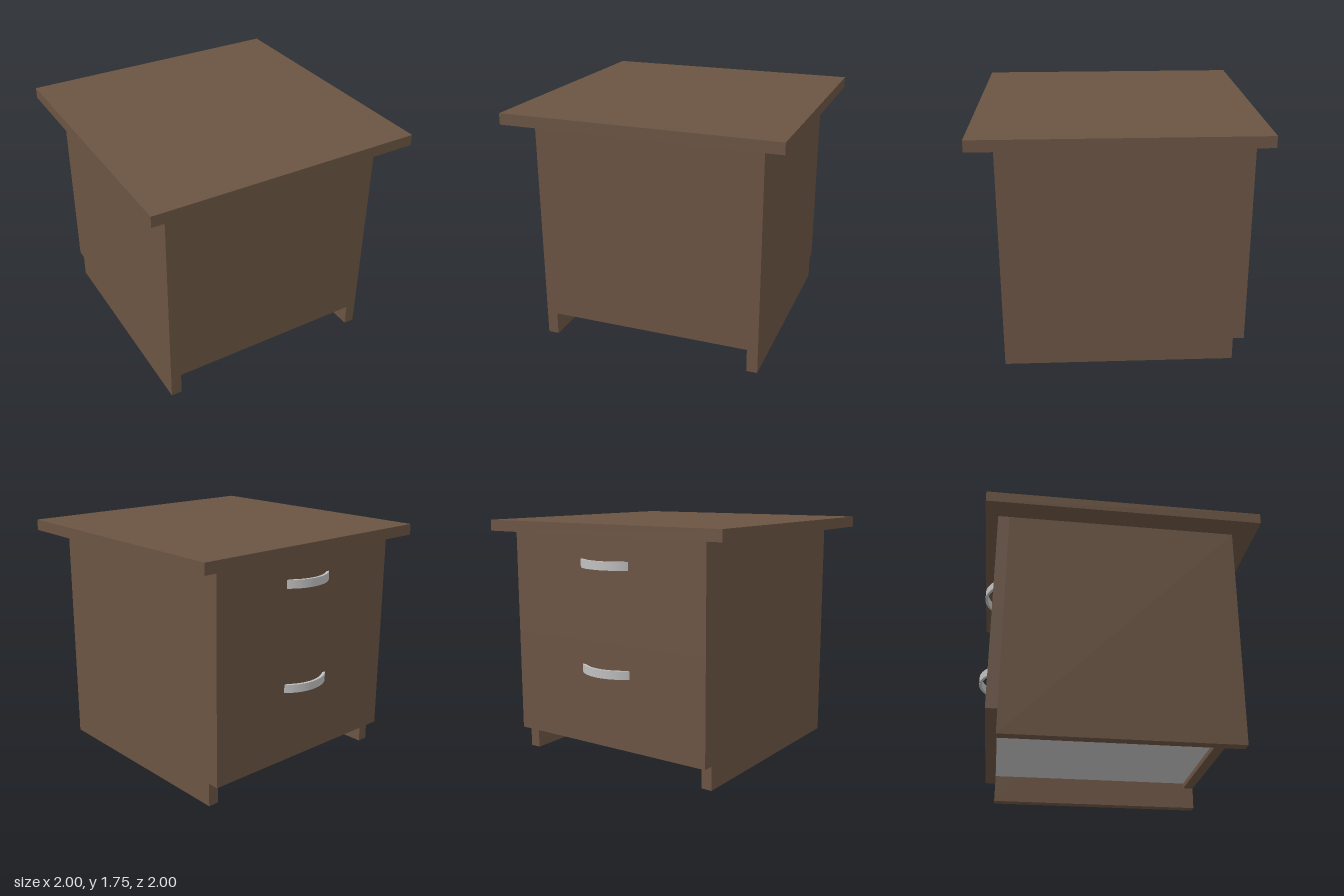
import * as THREE from 'three';
import { toCreasedNormals } from 'three/addons/utils/BufferGeometryUtils.js';

const wood = new THREE.MeshStandardMaterial({ color: 0x6b5443 });
wood.name = 'brown wood';
const metal = new THREE.MeshStandardMaterial({ color: 0xc0c0c0 });
metal.name = 'light grey';

// Box given by its lower and upper limits on each axis
function slab(name, material, [x0, x1], [y0, y1], [z0, z1]) {
  const mesh = new THREE.Mesh(new THREE.BoxGeometry(x1 - x0, y1 - y0, z1 - z0), material);
  mesh.name = name;
  mesh.position.set((x0 + x1) / 2, (y0 + y1) / 2, (z0 + z1) / 2);
  return mesh;
}

// Curved strip bowing out towards -z, its ends resting on z = 0
function handleGeometry() {
  const halfWidth = 0.21, bow = 0.08, thickness = 0.02, height = 0.06;
  const radius = (halfWidth ** 2 + bow ** 2) / (2 * bow);
  const spread = Math.asin(halfWidth / radius);
  const a = Math.PI / 2 - spread, b = Math.PI / 2 + spread;
  const shape = new THREE.Shape();
  shape.absarc(0, bow - radius, radius, a, b, false);
  shape.absarc(0, bow - radius, radius - thickness, b, a, true);
  const geometry = new THREE.ExtrudeGeometry(shape, { depth: height, bevelEnabled: false, curveSegments: 20 });
  geometry.translate(0, 0, -height / 2);
  geometry.rotateX(-Math.PI / 2);
  return toCreasedNormals(geometry, 0.6);
}

export function createModel() {
  const model = new THREE.Group();
  model.name = 'drawerCabinet';

  // Overhanging top
  model.add(slab('top', wood, [-1, 1], [1.67, 1.75], [-1, 1]));

  // Side panels reach the floor
  model.add(slab('leftSide', wood, [0.75, 0.83], [0, 1.67], [-0.83, 0.83]));
  model.add(slab('rightSide', wood, [-0.83, -0.75], [0, 1.67], [-0.83, 0.83]));

  // Closing panel flush between the sides
  model.add(slab('panel', wood, [-0.75, 0.75], [0.17, 1.67], [0.75, 0.83]));

  // Inner carcass, its underside slightly raised
  model.add(slab('innerBody', metal, [-0.75, 0.75], [0.21, 1.67], [-0.83, 0.75]));

  // Two drawers with bowed handles
  const handleShape = handleGeometry();
  ['lower', 'upper'].forEach((level, i) => {
    const y = 0.17 + i * 0.75;
    const drawer = new THREE.Group();
    drawer.name = level + 'Drawer';
    drawer.add(slab('drawerFront', wood, [-0.83, 0.83], [y, y + 0.75], [-0.91, -0.83]));
    const handle = new THREE.Mesh(handleShape, metal);
    handle.name = 'handle';
    handle.position.set(0, y + 0.55, -0.91);
    drawer.add(handle);
    model.add(drawer);
  });

  return model;
}
